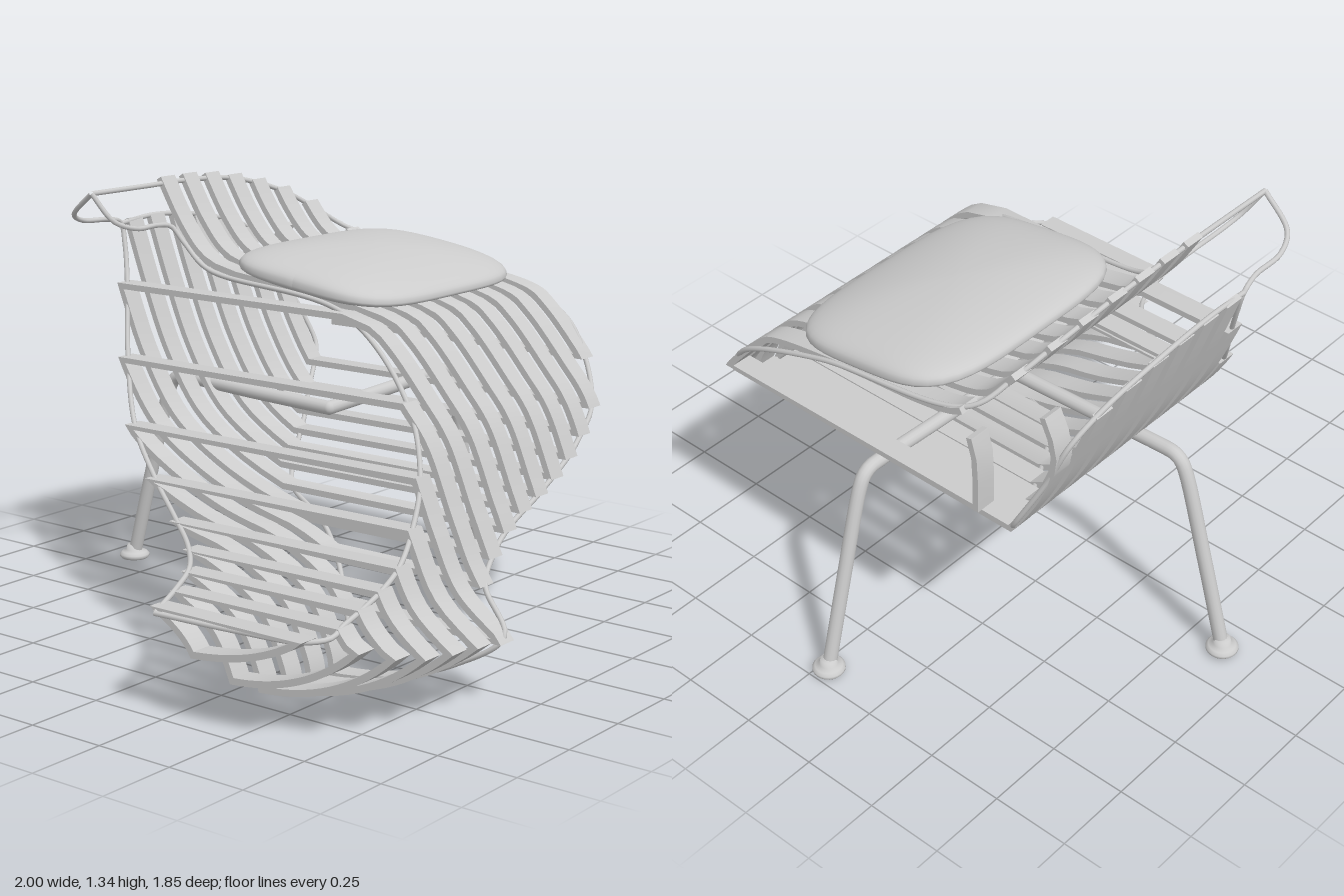
import * as THREE from 'three';
import { toCreasedNormals } from 'three/addons/utils/BufferGeometryUtils.js';

const V2 = (z, y) => new THREE.Vector2(z, y);
const V3 = (x, y, z) => new THREE.Vector3(x, y, z);
const material = new THREE.MeshStandardMaterial({ color: 0xcccccc });

// Side profiles as (z, y); both rise steadily, so z can be looked up from y.
const spline = (pts) => new THREE.SplineCurve(pts.map((p) => V2(...p))).getPoints(90);
const upper = spline([[0.912, 0.2], [0.77, 0.31], [0.685, 0.47], [0.597, 0.67], [0.508, 0.785], [0.375, 0.93],
  [0.27, 0.99], [-0.02, 1.035], [-0.27, 1.06], [-0.42, 1.1], [-0.52, 1.2], [-0.61, 1.345]]);
const lower = spline([[0.415, 0.01], [0.4, 0.1], [0.315, 0.25], [0.13, 0.352], [-0.07, 0.403], [-0.28, 0.487],
  [-0.46, 0.605], [-0.585, 0.785], [-0.675, 0.99], [-0.752, 1.2]]);
function zAt(curve, y) {
  let i = 1;
  while (i < curve.length - 1 && curve[i].y < y) i++;
  const a = curve[i - 1], b = curve[i];
  const t = THREE.MathUtils.clamp((y - a.y) / (b.y - a.y), 0, 1);
  return a.x + (b.x - a.x) * t;
}
const zU = (y) => zAt(upper, y), zL = (y) => zAt(lower, y);
function along(zOf, y0, y1, n = 18) {
  const out = [];
  for (let i = 0; i <= n; i++) {
    const y = y0 + (y1 - y0) * i / n;
    out.push(V2(zOf(y), y));
  }
  return out;
}

// A flat strip bent along a side path, open or closed: a rectangle swept along it.
function slat(name, x, path, closed) {
  const gap = 0.012;
  const pts = [];
  for (const p of path) if (!pts.length || p.distanceTo(pts[pts.length - 1]) > gap) pts.push(p);
  if (closed && pts[0].distanceTo(pts[pts.length - 1]) < gap) pts.pop();
  const n = pts.length, half = 0.01, x0 = x - 0.033, x1 = x + 0.033;
  const direction = (a, b) => b.clone().sub(a).normalize();
  const rings = pts.map((p, i) => {
    const prev = closed || i > 0 ? pts[(i + n - 1) % n] : null;
    const next = closed || i < n - 1 ? pts[(i + 1) % n] : null;
    const d1 = prev ? direction(prev, p) : direction(p, next);
    const d2 = next ? direction(p, next) : d1;
    const m = V2(-d1.y - d2.y, d1.x + d2.x).normalize();
    m.multiplyScalar(half / Math.max(0.6, m.dot(V2(-d1.y, d1.x))));
    const a = p.clone().add(m), b = p.clone().sub(m);
    return [V3(x0, a.y, a.x), V3(x1, a.y, a.x), V3(x1, b.y, b.x), V3(x0, b.y, b.x)];
  });
  const corners = [];
  const quad = (a, b, c, d) => corners.push(a, b, c, a, c, d);
  for (let i = 0; i < (closed ? n : n - 1); i++) {
    const r = rings[i], s = rings[(i + 1) % n];
    for (let k = 0; k < 4; k++) quad(r[k], s[k], s[(k + 1) % 4], r[(k + 1) % 4]);
  }
  if (!closed) {
    const [a, b, c, d] = rings[n - 1];
    quad(d, c, b, a);
    quad(...rings[0]);
  }
  const geo = toCreasedNormals(new THREE.BufferGeometry().setFromPoints(corners), 0.5);
  const mesh = new THREE.Mesh(geo, material);
  mesh.name = name;
  return mesh;
}

function tube(name, pts, radius, segments = 100, sides = 8) {
  const curve = new THREE.CatmullRomCurve3(pts, false, 'centripetal');
  const mesh = new THREE.Mesh(new THREE.TubeGeometry(curve, segments, radius, sides), material);
  mesh.name = name;
  return mesh;
}

function buildSlats() {
  const g = new THREE.Group();
  g.name = 'slats';
  // Footrest loops with a curled underside: x, top, nose height, nose z, bottom
  for (const [x, T, N, zN, B] of [[-0.95, 0.316, 0.316, 0.71, 0.21], [-0.84, 0.328, 0.28, 0.815, 0.115],
    [-0.735, 0.35, 0.245, 0.858, 0.065], [-0.63, 0.375, 0.222, 0.88, 0.04],
    [-0.525, 0.412, 0.212, 0.895, 0.025], [-0.42, 0.49, 0.205, 0.905, 0.02]]) {
    const back = zL(B);
    const curl = new THREE.QuadraticBezierCurve(V2(zN, N), V2(zN - 0.4 * (zN - back), B + 0.015), V2(back, B));
    const front = T > N ? along(zU, T, N, 8).slice(0, -1) : [];
    g.add(slat('footrestSlat', x, [V2(zL(T), T), ...front, ...curl.getPoints(14), ...along(zL, B, T)], true));
  }
  // Closed loops between footrest and seat: x, top, bottom
  for (const [x, T, B] of [[-0.315, 0.61, 0.195], [-0.21, 0.79, 0.31], [-0.11, 1.003, 0.365]]) {
    g.add(slat('loopSlat', x, [...along(zU, T, B, 26), ...along(zL, B, T, 26)], true));
  }
  // Seat slats, open at the rear: x, top, bottom, top of rear part
  for (const [x, T, B, E] of [[0, 1.342, 0.415, 1.2], [0.105, 1.342, 0.45, 1.2], [0.21, 1.335, 0.475, 1.19],
    [0.315, 1.32, 0.505, 1.175], [0.42, 1.295, 0.545, 1.15], [0.525, 1.26, 0.595, 1.11],
    [0.63, 1.205, 0.66, 0.95], [0.735, 1.105, 0.787, 0]]) {
    const rear = E ? along(zL, B, E, 24) : [V2(-0.475, 0.787), V2(-0.477, 0.87), V2(-0.473, 0.96), V2(-0.455, 1.025)];
    if (x === 0.63) rear.push(V2(-0.666, 1.0), V2(-0.653, 1.06), V2(-0.625, 1.12));
    g.add(slat('seatSlat', x, [...along(zU, T, B, 50), ...rear], false));
  }
  return g;
}

function buildRails() {
  const g = new THREE.Group();
  g.name = 'rails';
  const onU = ([x, y]) => V3(x, y, zU(y)), onL = ([x, y]) => V3(x, y, zL(y));
  const side = [[-0.84, 0.335], [-0.735, 0.355], [-0.63, 0.38], [-0.525, 0.42], [-0.42, 0.495],
    [-0.315, 0.615], [-0.21, 0.795], [-0.11, 1.005]];
  const bottom = [[0.63, 0.655], [0.525, 0.59], [0.42, 0.54], [0.21, 0.47], [0, 0.41], [-0.11, 0.36],
    [-0.21, 0.3], [-0.31, 0.2]];
  const tip = V3(-0.35, 1.325, -0.6);
  // Upper rail: footrest edge, up to the pointed tip
  g.add(tube('upperRail', [V3(-0.99, 0.305, 0.22), V3(-0.975, 0.307, 0.5), V3(-0.95, 0.312, 0.71), V3(-0.9, 0.32, 0.76),
    ...side.map(onU), ...[[-0.075, 1.08], [-0.06, 1.15], [-0.075, 1.2], [-0.13, 1.21], [-0.23, 1.21],
      [-0.31, 1.24]].map(onU), tip], 0.008, 160));
  // Seat rim: from the tip over the seat end, down the side and along the bottom
  g.add(tube('seatRim', [tip, ...[[-0.1, 1.325], [0.1, 1.325], [0.315, 1.31], [0.525, 1.25], [0.63, 1.19],
    [0.74, 1.11], [0.775, 1.02], [0.775, 0.9], [0.735, 0.78], ...bottom].map(onU),
  V3(-0.34, 0.1, 0.77), V3(-0.365, 0.045, 0.62), V3(-0.38, 0.015, 0.415)], 0.008, 200));
  // Lower rail along the footrest back edge, then round the rear opening
  g.add(tube('lowerRail', [V3(-0.99, 0.305, 0.22), ...side.map(onL), V3(-0.07, 1.12, -0.725), V3(-0.065, 1.19, -0.745),
    V3(-0.13, 1.21, -0.735), V3(-0.25, 1.22, -0.735), V3(-0.32, 1.25, -0.705), tip], 0.008, 160));
  g.add(tube('rearRail', [V3(-0.065, 1.19, -0.745), V3(0.1, 1.2, -0.75), ...[[0.3, 1.18], [0.525, 1.12], [0.63, 1.04],
    [0.66, 0.9], [0.69, 0.73], [0.68, 0.7], ...bottom].map(onL), V3(-0.35, 0.1, 0.4), V3(-0.38, 0.015, 0.415)],
  0.008, 180));
  return g;
}

function buildStand() {
  const g = new THREE.Group();
  g.name = 'stand';
  const run = [[0, 0.65], [0.3, 0.66], [0.58, 0.672], [0.625, 0.67], [0.65, 0.655], [0.67, 0.62], [0.755, 0.33], [0.835, 0.04]];
  const footProfile = [[0, 0.012], [0.045, 0.012], [0.05, 0.018], [0.05, 0.026], [0.042, 0.034], [0.028, 0.04],
    [0.024, 0.058], [0, 0.06]].map((p) => V2(...p));
  // One bent tube runs sideways, the other rearwards; they share a corner
  for (const [name, place] of [['sideLeg', ([d, y]) => V3(0.11 + d, y, -0.035)],
    ['rearLeg', ([d, y]) => V3(0.11, y, -0.035 - d)]]) {
    g.add(tube(name, run.map(place), 0.022, 80, 14));
    const foot = new THREE.Mesh(new THREE.LatheGeometry(footProfile, 24), material);
    foot.name = name + 'Foot';
    foot.position.copy(place([0.84, 0]));
    g.add(foot);
  }
  const corner = new THREE.Mesh(new THREE.SphereGeometry(0.022, 14, 10), material);
  corner.name = 'standCorner';
  corner.position.set(0.11, 0.65, -0.035);
  g.add(corner);
  return g;
}

// Pillow: rounded-square outline, domed top, flatter underside, tilted up to the rear
function buildCushion() {
  const geo = new THREE.SphereGeometry(1, 64, 40);
  const p = geo.attributes.position;
  for (let i = 0; i < p.count; i++) {
    const x = p.getX(i), y = p.getY(i), z = p.getZ(i);
    const r = Math.hypot(x, z);
    const k = r > 1e-6 ? r / Math.pow(x ** 4 + z ** 4, 0.25) : 0;
    const u = x * k, w = z * k;
    const h = Math.sign(y) * Math.pow(Math.abs(y), 0.75) * (1 - 0.3 * w * w);
    const mid = 1.06 - 0.042 * w;
    p.setXYZ(i, 0.35 + 0.42 * u, mid + h * (y > 0 ? 0.085 : 0.045), -0.037 + 0.317 * w);
  }
  geo.computeVertexNormals();
  const mesh = new THREE.Mesh(geo, material);
  mesh.name = 'cushion';
  return mesh;
}

export function createModel() {
  const model = new THREE.Group();
  model.name = 'slattedLounger';
  model.add(buildSlats(), buildRails(), buildStand(), buildCushion());
  return model;
}
